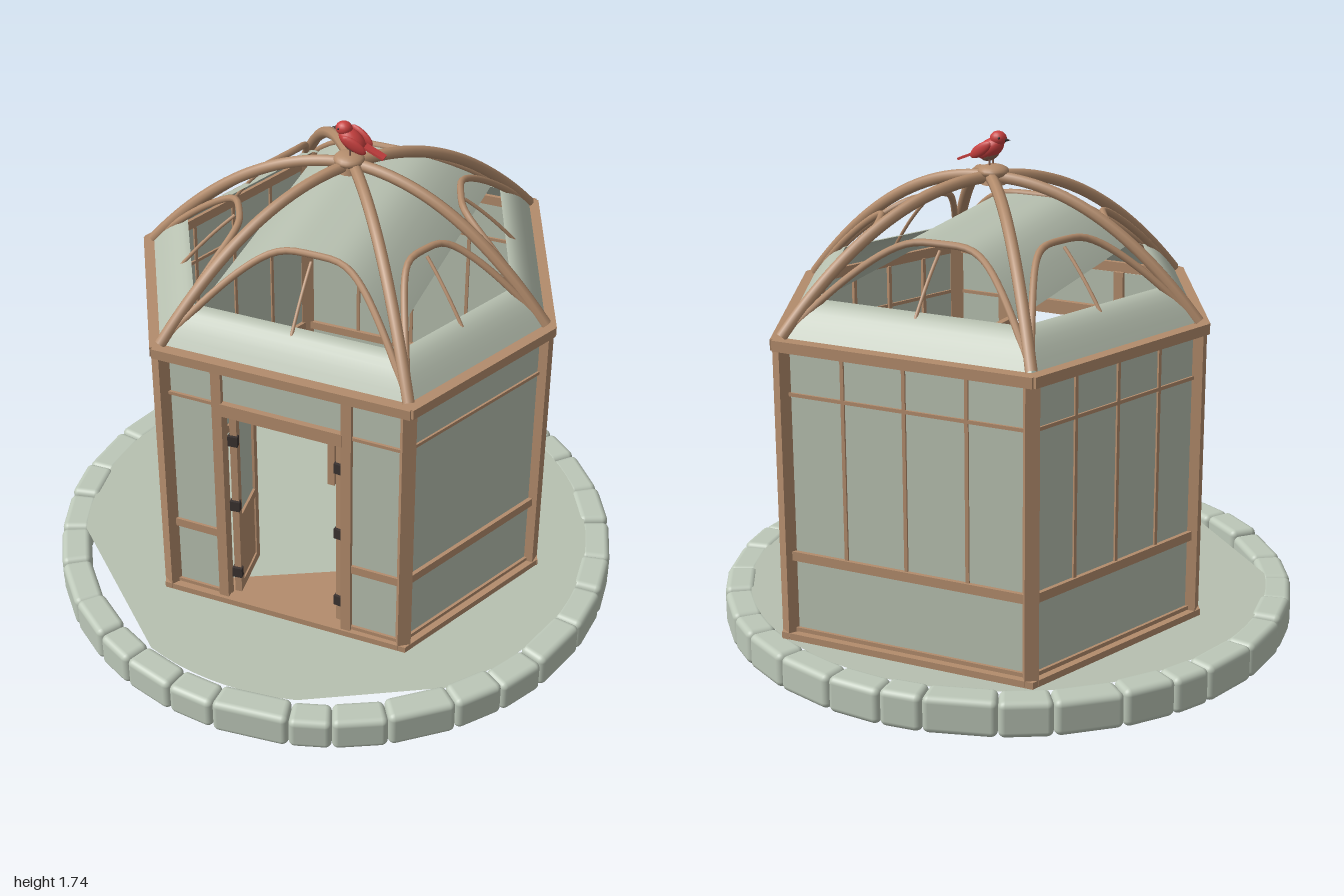
import * as THREE from 'three';
import { RoundedBoxGeometry } from 'three/addons/geometries/RoundedBoxGeometry.js';
import { ParametricGeometry } from 'three/addons/geometries/ParametricGeometry.js';

const mat = (name, color, side = THREE.FrontSide) => {
  const m = new THREE.MeshStandardMaterial({ color, side });
  m.name = name;
  return m;
};

export function createModel() {
  const root = new THREE.Group();
  const wood = mat('wood', 0xb38c6c);
  const stone = mat('stone', 0xbcc7b8);
  const glass = mat('paleGlass', 0xb7c0b0, THREE.DoubleSide);
  const red = mat('birdRed', 0xc8403f);
  const brown = mat('birdBrown', 0x8f6655);
  const dark = mat('dark', 0x3a3230);
  const V = (x, y, z) => new THREE.Vector3(x, y, z);

  const add = (name, geo, m, parent = root) => {
    const mesh = new THREE.Mesh(geo, m);
    mesh.name = name;
    parent.add(mesh);
    return mesh;
  };
  const box = (name, w, h, d, x, y, z, m = wood, parent = root) => {
    const b = add(name, new THREE.BoxGeometry(w, h, d), m, parent);
    b.position.set(x, y, z);
    return b;
  };
  // horizontal beam between two points
  const beam = (name, a, b, w, h, m = wood) => {
    const mesh = add(name, new THREE.BoxGeometry(w, h, a.distanceTo(b)), m);
    mesh.position.copy(a).lerp(b, 0.5);
    mesh.lookAt(b);
    return mesh;
  };
  const tube = (name, fn, n, r) => {
    const pts = Array.from({ length: n + 1 }, (_, i) => fn(i / n));
    return add(name, new THREE.TubeGeometry(new THREE.CatmullRomCurve3(pts), n * 2, r, 8), wood);
  };
  const sheet = (name, fn, nu, nv) =>
    add(name, new ParametricGeometry((u, v, t) => t.copy(fn(u, v)), nu, nv), glass);

  // hexagon plan: front, front right, back right, back, back left, front left walls
  const C = V(0.01, 0, -0.12);
  const plan = [[-0.405, 0.51], [0.45, 0.5], [0.715, -0.07], [0.43, -0.77], [-0.43, -0.75], [-0.705, -0.05]];
  const corner = (i, y = 0, f = 1) => {
    const [x, z] = plan[i % 6];
    return V(C.x + (x - C.x) * f, y, C.z + (z - C.z) * f);
  };
  const edge = (i, t, y, f = 1) => corner(i, y, f).lerp(corner(i + 1, y, f), t);
  const domeY = (f) => 1.165 + 0.425 * (1 - Math.pow(f, 2.1));

  // ring of rounded edging stones
  let seed = 7;
  const rand = () => (seed = (seed * 16807) % 2147483647) / 2147483647;
  const stones = 32, ring = 0.947;
  let cuts = Array.from({ length: stones }, (_, i) => ((i + (rand() - 0.5) * 0.4) / stones) * Math.PI * 2);
  cuts.push(cuts[0] + Math.PI * 2);
  for (let i = 0; i < stones; i++) {
    const span = cuts[i + 1] - cuts[i], h = 0.117 + rand() * 0.014;
    const g = new RoundedBoxGeometry(span * ring, h, 0.104, 3, 0.022);
    const p = g.attributes.position;
    for (let k = 0; k < p.count; k++) {
      const a = p.getX(k) / ring, r = ring + p.getZ(k);
      p.setXYZ(k, Math.sin(a) * r, p.getY(k), Math.cos(a) * r);
    }
    const s = add('edgingStone', g, stone);
    s.rotation.y = (cuts[i] + cuts[i + 1]) / 2;
    s.position.y = h / 2 + rand() * 0.006;
  }

  // floor disc with two straight cuts at the front, and a timber triangle inside
  const disc = new THREE.Shape();
  for (let d = 0; d < 360; d += 4) {
    if ((d > 46 && d < 76) || (d > 114 && d < 154)) continue;
    const a = (d * Math.PI) / 180, r = d > 75 && d < 115 ? 0.9 : 0.91;
    const x = Math.cos(a) * r, y = -Math.sin(a) * r;
    if (d) disc.lineTo(x, y); else disc.moveTo(x, y);
  }
  const floor = add('floor', new THREE.ShapeGeometry(disc), glass);
  floor.rotation.x = -Math.PI / 2;
  floor.position.y = 0.125;
  const tri = new THREE.Shape([0, 1, 2].map((i) => new THREE.Vector2(plan[i][0], -plan[i][1])));
  const timber = add('timberFloor', new THREE.ShapeGeometry(tri), wood);
  timber.rotation.x = -Math.PI / 2;
  timber.position.y = 0.132;

  for (let i = 0; i < 6; i++) {
    const c = corner(i), out = Math.atan2(c.x - C.x, c.z - C.z);
    // corner post, sill and eave beam
    box('cornerPost', 0.046, 1.02, 0.046, c.x, 0.64, c.z).rotation.y = out;
    beam('sill', edge(i, -0.015, 0.135, 1.02), edge(i, 1.015, 0.135, 1.02), 0.036, 0.026);
    beam('eaveBeam', edge(i, -0.01, 1.145, 1.02), edge(i, 1.01, 1.145, 1.02), 0.045, 0.036);

    // walls
    if (i > 0) {
      if (i === 2) {
        const t = new THREE.BufferGeometry().setFromPoints([edge(2, 0, 0.15), edge(2, 1, 1.12), edge(2, 0, 1.12)]);
        t.computeVertexNormals();
        add('brokenWallGlass', t, glass);
      } else {
        sheet('wallGlass', (u, v) => edge(i, u, 0.14 + v * 0.99), 1, 1);
      }
      const k = i === 1 || i === 5 ? 0.986 : 1;
      beam('wallRail', edge(i, 0, 0.422), edge(i, 1, 0.422), 0.028, 0.032);
      beam('bottomRail', edge(i, 0, 0.157), edge(i, 1, 0.157), 0.02, 0.014);
      beam('upperGlazingBar', edge(i, 0, 0.98), edge(i, 1, 0.98), 0.014, 0.012);
      const dir = edge(i, 1, 0).sub(edge(i, 0, 0));
      for (const t of [0.25, 0.5, 0.75]) {
        const p = edge(i, t, 0.78, k);
        box('glazingBar', 0.012, 0.7, 0.014, p.x, p.y, p.z).rotation.y = Math.atan2(-dir.z, dir.x);
      }
    }

    // dome: corner rib, arch and short middle bar
    tube('roofRib', (u) => { const f = 1 - u * 0.97; return corner(i, domeY(f), f); }, 14, 0.02);
    const archF = (t) => 0.57 + 0.41 * Math.pow(Math.abs(2 * t - 1), 4);
    tube('roofArch', (t) => edge(i, t, domeY(archF(t)) - 0.01, archF(t)), 20, 0.012);
    tube('roofBar', (u) => { const f = 0.96 - u * 0.37; return edge(i, 0.5, domeY(f) - 0.02, f); }, 6, 0.006);
    // curved lower roof glass
    sheet('lowerRoofGlass', (u, v) => edge(i, u, 1.165 + 0.105 * Math.sin((v * Math.PI) / 2), 1 - 0.18 * v), 1, 6);
    // vault sheet joining the front arch to the back arch
    if (i === 0) {
      sheet('vaultGlass', (u, v) => {
        const t = 0.05 + u * 0.9, f = archF(t);
        return edge(0, t, domeY(f) - 0.012, f).lerp(edge(3, 1 - t, domeY(f) - 0.012, f), v);
      }, 20, 1);
    }
  }

  // front wall: side lights, door posts and header
  const zf = 0.505;
  for (const [x0, x1] of [[-0.4, -0.205], [0.25, 0.445]]) {
    const m = (x0 + x1) / 2, w = x1 - x0;
    box('sideLightGlass', w, 0.98, 0.006, m, 0.635, zf, glass);
    for (const [y, h] of [[0.422, 0.032], [0.157, 0.014], [0.98, 0.012]]) box('sideLightRail', w, h, 0.024, m, y, zf);
  }
  for (const x of [-0.205, 0.25]) box('doorPost', 0.035, 0.99, 0.042, x, 0.635, zf);
  box('transomGlass', 0.44, 0.13, 0.006, 0.022, 1.06, zf, glass);
  box('doorHeader', 0.43, 0.05, 0.046, 0.022, 0.97, zf);
  for (const s of [-1, 1]) {
    // door leaf opened inward
    const door = new THREE.Group();
    door.name = 'door';
    door.position.set(0.022 + s * 0.19, 0, zf - 0.02);
    door.rotation.y = s * -0.1;
    root.add(door);
    for (const z of [-0.015, -0.185]) box('doorStile', 0.024, 0.76, 0.03, 0, 0.53, z, wood, door);
    for (const y of [0.165, 0.46, 0.895]) box('doorRail', 0.024, 0.035, 0.2, 0, y, -0.1, wood, door);
    box('doorPanel', 0.012, 0.28, 0.16, 0, 0.31, -0.1, wood, door);
    box('doorGlass', 0.006, 0.41, 0.16, 0, 0.68, -0.1, glass, door);
    for (const y of [0.24, 0.54, 0.82]) box('hinge', 0.034, 0.04, 0.02, 0, y, 0, dark, door);
  }

  // potting table with three cups
  box('tableTop', 0.32, 0.018, 0.24, 0.02, 0.412, -0.3);
  for (const x of [-0.1, 0.13]) for (const z of [-0.21, -0.39]) box('tableLeg', 0.028, 0.28, 0.028, x, 0.265, z);
  for (const x of [-0.06, 0.09]) box('tableBrace', 0.022, 0.28, 0.022, x, 0.265, -0.3);
  for (const z of [-0.21, -0.39]) box('tableStretcher', 0.25, 0.014, 0.014, 0.015, 0.355, z);
  for (const x of [-0.1, 0.13]) box('tableStretcher', 0.014, 0.014, 0.2, x, 0.355, -0.3);
  const cupProfile = [[0, 0], [0.02, 0], [0.028, 0.018], [0.032, 0.048], [0.027, 0.048], [0.022, 0.015], [0, 0.01]];
  for (const x of [-0.08, 0.015, 0.1]) {
    const g = new THREE.LatheGeometry(cupProfile.map((p) => new THREE.Vector2(...p)), 16);
    add('cup', g, stone).position.set(x, 0.422, -0.3);
  }

  // finial at the top of the dome
  const ball = (name, r, sx, sy, sz, x, y, z, m, parent, tilt = 0) => {
    const b = add(name, new THREE.SphereGeometry(r, 18, 12), m, parent);
    b.scale.set(sx, sy, sz);
    b.position.set(x, y, z);
    b.rotation.z = tilt;
    return b;
  };
  ball('finial', 0.052, 1, 0.45, 1, 0, 1.607, -0.115, wood, root);
  const neck = add('finialNeck', new THREE.CylinderGeometry(0.036, 0.042, 0.03, 16), wood);
  neck.position.set(0, 1.58, -0.115);

  // perched bird facing left
  const bird = new THREE.Group();
  bird.name = 'bird';
  bird.position.set(0, 0, -0.115);
  root.add(bird);
  ball('birdBody', 0.035, 1.5, 0.9, 0.95, 0.01, 1.682, 0, red, bird, -0.6);
  ball('birdBelly', 0.03, 1.3, 0.9, 0.9, 0.012, 1.67, 0, brown, bird, -0.6);
  ball('birdHead', 0.026, 1.1, 0.95, 0.95, -0.018, 1.718, 0, red, bird);
  const beak = add('beak', new THREE.ConeGeometry(0.009, 0.022, 8), dark, bird);
  beak.position.set(-0.05, 1.715, 0);
  beak.rotation.z = Math.PI / 2;
  const tail = box('tail', 0.075, 0.008, 0.03, 0.09, 1.652, 0, red, bird);
  tail.rotation.z = -0.4;
  for (const s of [-1, 1]) {
    const wing = ball('wing', 0.03, 1.6, 0.65, 0.35, 0.03, 1.682, s * 0.036, red, bird, -0.6);
    wing.rotation.y = s * 0.15;
    ball('eye', 0.004, 1, 1, 1, -0.03, 1.723, s * 0.021, dark, bird);
    const leg = add('leg', new THREE.CylinderGeometry(0.003, 0.003, 0.04, 6), brown, bird);
    leg.position.set(0.008, 1.64, s * 0.014);
  }
  return root;
}
